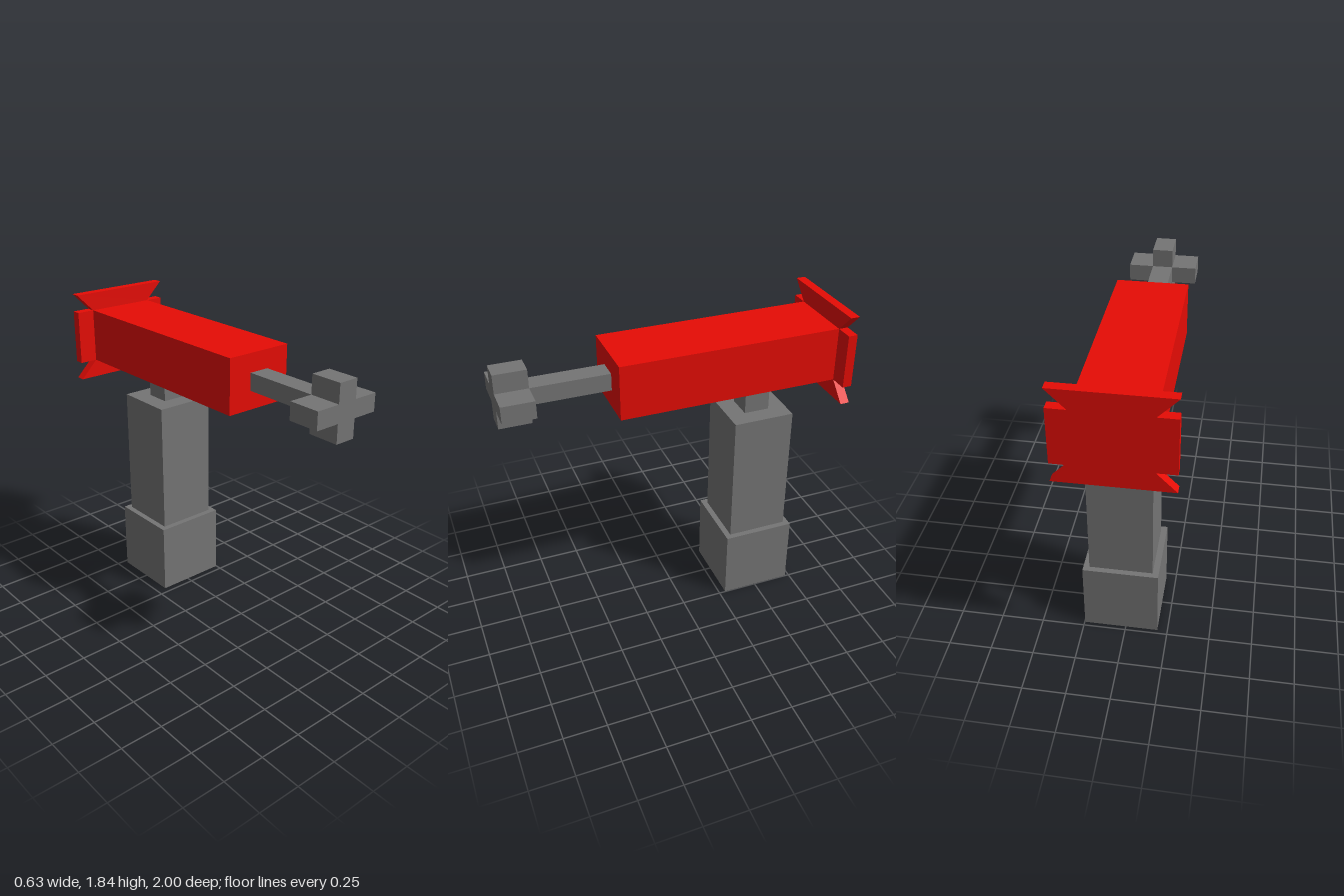
import * as THREE from 'three';

const grey = new THREE.MeshStandardMaterial({ color: 0x757575, flatShading: true });
const red = new THREE.MeshStandardMaterial({ color: 0xe60c05, flatShading: true });

// Box given by its [min, max] range on each axis
function box(name, [x0, x1], [y0, y1], [z0, z1], material) {
  const mesh = new THREE.Mesh(new THREE.BoxGeometry(x1 - x0, y1 - y0, z1 - z0), material);
  mesh.position.set((x0 + x1) / 2, (y0 + y1) / 2, (z0 + z1) / 2);
  mesh.name = name;
  return mesh;
}

// Flat outline extruded from z0 to z1, centred on height y
function slab(name, points, y, z0, z1, material) {
  const shape = new THREE.Shape(points.map(([px, py]) => new THREE.Vector2(px, py)));
  const geometry = new THREE.ExtrudeGeometry(shape, { depth: z1 - z0, bevelEnabled: false });
  const mesh = new THREE.Mesh(geometry, material);
  mesh.position.set(0, y, z0);
  mesh.name = name;
  return mesh;
}

// Repeats a half outline turned by 180 degrees
const twice = (half) => [...half, ...half.map(([x, y]) => [-x, -y])];

export function createModel() {
  const model = new THREE.Group();
  model.name = 'hammer';
  const axisY = 1.573;

  // Stepped handle, slightly off centre
  const handle = new THREE.Group();
  handle.name = 'handle';
  handle.add(
    box('pommel', [-0.19, 0.247], [0, 0.434], [-0.725, -0.29], grey),
    box('grip', [-0.155, 0.212], [0.434, 1.235], [-0.692, -0.325], grey),
    box('neck', [-0.047, 0.105], [1.235, 1.412], [-0.585, -0.433], grey),
  );

  // Red body and the thin rod in front of it
  const body = box('body', [-0.208, 0.208], [1.412, 1.734], [-0.945, 0.363], red);
  const rod = box('rod', [-0.061, 0.061], [1.522, 1.624], [0.363, 0.814], grey);

  // Cross-shaped tip
  const w = 0.061, h = 0.051, W = 0.208, H = 0.161;
  const tip = slab('crossTip', twice([
    [W, -h], [W, h], [w, h], [w, H], [-w, H], [-w, h],
  ]), axisY, 0.814, 1, grey);

  // Back plate with a notch cut into each corner
  const plate = slab('backPlate', twice([
    [0.316, -H], [0.316, H], [W, H], [0.316, 0.27], [-0.316, 0.27], [-W, H],
  ]), axisY, -1, -0.945, red);

  model.add(handle, body, rod, tip, plate);
  return model;
}
